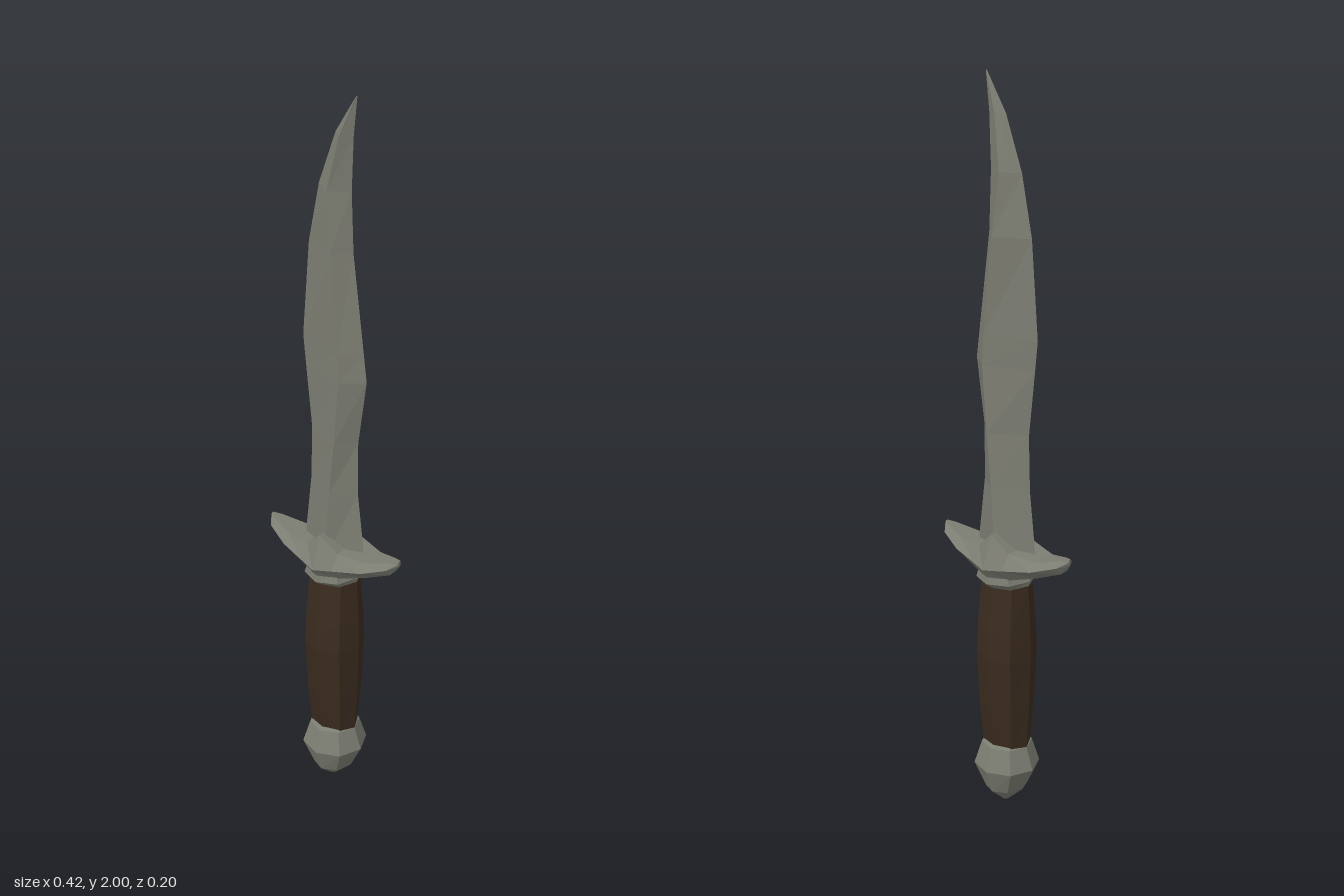
import * as THREE from 'three';

// Skins a list of equal-length rings of [x, y, z] points and caps both ends.
function loft(rings) {
  const pos = [];
  const tri = (a, b, c) => pos.push(...a, ...b, ...c);
  const n = rings[0].length;
  for (let r = 0; r < rings.length - 1; r++) {
    for (let i = 0; i < n; i++) {
      const j = (i + 1) % n, lo = rings[r], hi = rings[r + 1];
      tri(lo[i], hi[i], lo[j]);
      tri(hi[i], hi[j], lo[j]);
    }
  }
  const centre = (ring) => [0, 1, 2].map((k) => ring.reduce((s, p) => s + p[k], 0) / n);
  const first = rings[0], last = rings[rings.length - 1];
  const c0 = centre(first), c1 = centre(last);
  for (let i = 0; i < n; i++) {
    const j = (i + 1) % n;
    tri(c0, first[i], first[j]);
    tri(c1, last[j], last[i]);
  }
  const geo = new THREE.BufferGeometry();
  geo.setAttribute('position', new THREE.Float32BufferAttribute(pos, 3));
  geo.computeVertexNormals();
  return geo;
}

// Elliptical ring at height y.
function oval(y, rx, rz, sides = 8, turn = 0) {
  return Array.from({ length: sides }, (_, i) => {
    const a = (i / sides) * Math.PI * 2 + turn;
    return [rx * Math.cos(a), y, rz * Math.sin(a)];
  });
}

export function createModel() {
  const steel = new THREE.MeshStandardMaterial({ color: 0x7c7d72, flatShading: true });
  steel.name = 'steel';
  const leather = new THREE.MeshStandardMaterial({ color: 0x3a2b1e, flatShading: true });
  leather.name = 'leather';

  const group = new THREE.Group();
  group.name = 'dagger';
  const add = (name, geometry, material) => {
    const mesh = new THREE.Mesh(geometry, material);
    mesh.name = name;
    group.add(mesh);
  };

  // Blade: y, right-hand edge, left-hand edge, ridge x, front z, back z
  const blade = [
    [0.72, 0.1, -0.1, 0.0, 0.05, -0.05],
    [0.93, 0.075, -0.077, 0.015, 0.045, -0.047],
    [1.08, 0.075, -0.073, 0.03, 0.045, -0.046],
    [1.26, 0.1, -0.092, 0.045, 0.045, -0.045],
    [1.34, 0.09, -0.1, 0.04, 0.044, -0.045],
    [1.6, 0.057, -0.08, 0.015, 0.041, -0.042],
    [1.76, 0.051, -0.048, 0.003, 0.038, -0.028],
    [1.9, 0.056, 0.002, 0.03, 0.025, -0.012],
    [2.0, 0.066, 0.063, 0.065, 0.002, -0.002],
  ];
  add('blade', loft(blade.map(([y, xr, xl, xm, zf, zb]) =>
    [[xr, y, 0], [xm, y, zf], [xl, y, 0], [xm, y, zb]])), steel);

  // Crossguard half: x, top y, middle y, bottom y, top/bottom half-depth, middle half-depth
  const half = [
    [0.0, 0.81, 0.72, 0.67, 0.065, 0.1],
    [0.05, 0.765, 0.725, 0.69, 0.055, 0.082],
    [0.125, 0.755, 0.735, 0.71, 0.035, 0.06],
    [0.19, 0.77, 0.755, 0.733, 0.015, 0.032],
    [0.21, 0.775, 0.768, 0.76, 0.003, 0.006],
  ];
  const mirrored = half.slice(1).reverse().map(([x, ...rest]) => [-x, ...rest]);
  add('crossguard', loft([...mirrored, ...half].map(([x, t, m, b, zs, zm]) =>
    [[x, t, zs], [x, t, -zs], [x, m, -zm], [x, b, -zs], [x, b, zs], [x, m, zm]])), steel);

  // Collar between grip and guard
  add('collar', loft([
    oval(0.657, 0.072, 0.062), oval(0.675, 0.078, 0.085), oval(0.71, 0.065, 0.08),
  ]), steel);

  // Grip, swelling in the middle
  add('grip', loft([
    [0.17, 0.068, 0.055], [0.3, 0.077, 0.07], [0.45, 0.081, 0.08],
    [0.53, 0.08, 0.076], [0.665, 0.073, 0.06],
  ].map(([y, rx, rz]) => oval(y, rx, rz))), leather);

  // Faceted pommel
  add('pommel', loft([
    [0.0, 0.008, 0.012], [0.045, 0.055, 0.063], [0.115, 0.09, 0.088],
    [0.18, 0.069, 0.068], [0.188, 0.06, 0.055],
  ].map(([y, rx, rz]) => oval(y, rx, rz))), steel);

  return group;
}
